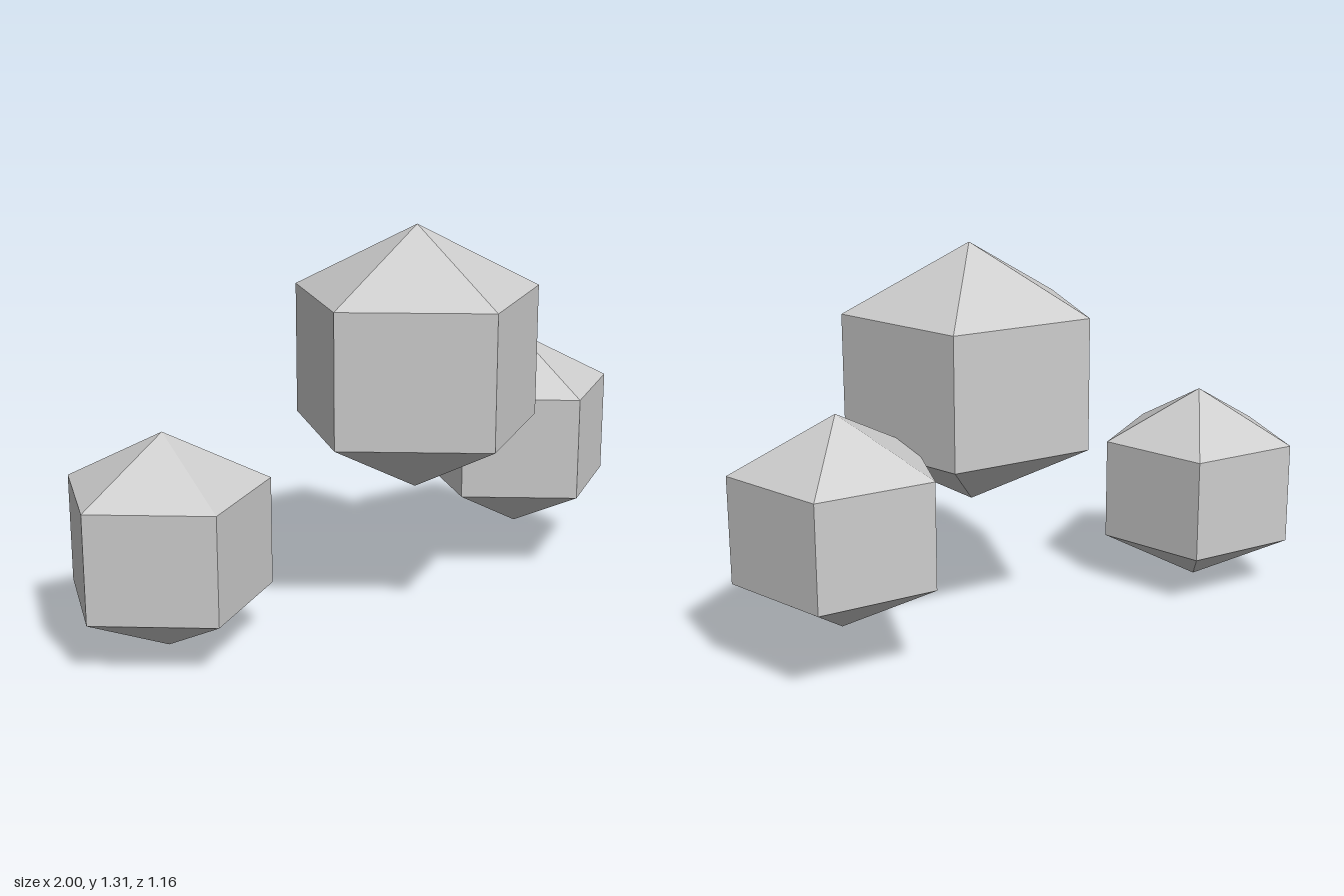
import * as THREE from 'three';

export function createModel() {
  const model = new THREE.Group();
  model.name = 'cloud';

  const cloudGrey = new THREE.MeshStandardMaterial({ color: 0xcccccc, flatShading: true });
  cloudGrey.name = 'cloudGrey';

  // Five-sided puff, slightly squashed, with one corner pointing to +x
  const puffShape = new THREE.SphereGeometry(1, 5, 3);
  puffShape.rotateY(Math.PI);
  puffShape.scale(1, 0.9, 1);

  const puffs = [
    ['centrePuff', 0.497, 0.155, 0.863, 0.1],
    ['rightPuff', 0.398, -0.721, 0.36, 0.25],
    ['leftPuff', 0.398, 0.655, 0.487, -0.25],
  ];
  for (const [name, radius, x, y, z] of puffs) {
    const puff = new THREE.Mesh(puffShape, cloudGrey);
    puff.name = name;
    puff.scale.setScalar(radius);
    puff.position.set(x, y, z);
    model.add(puff);
  }
  return model;
}
